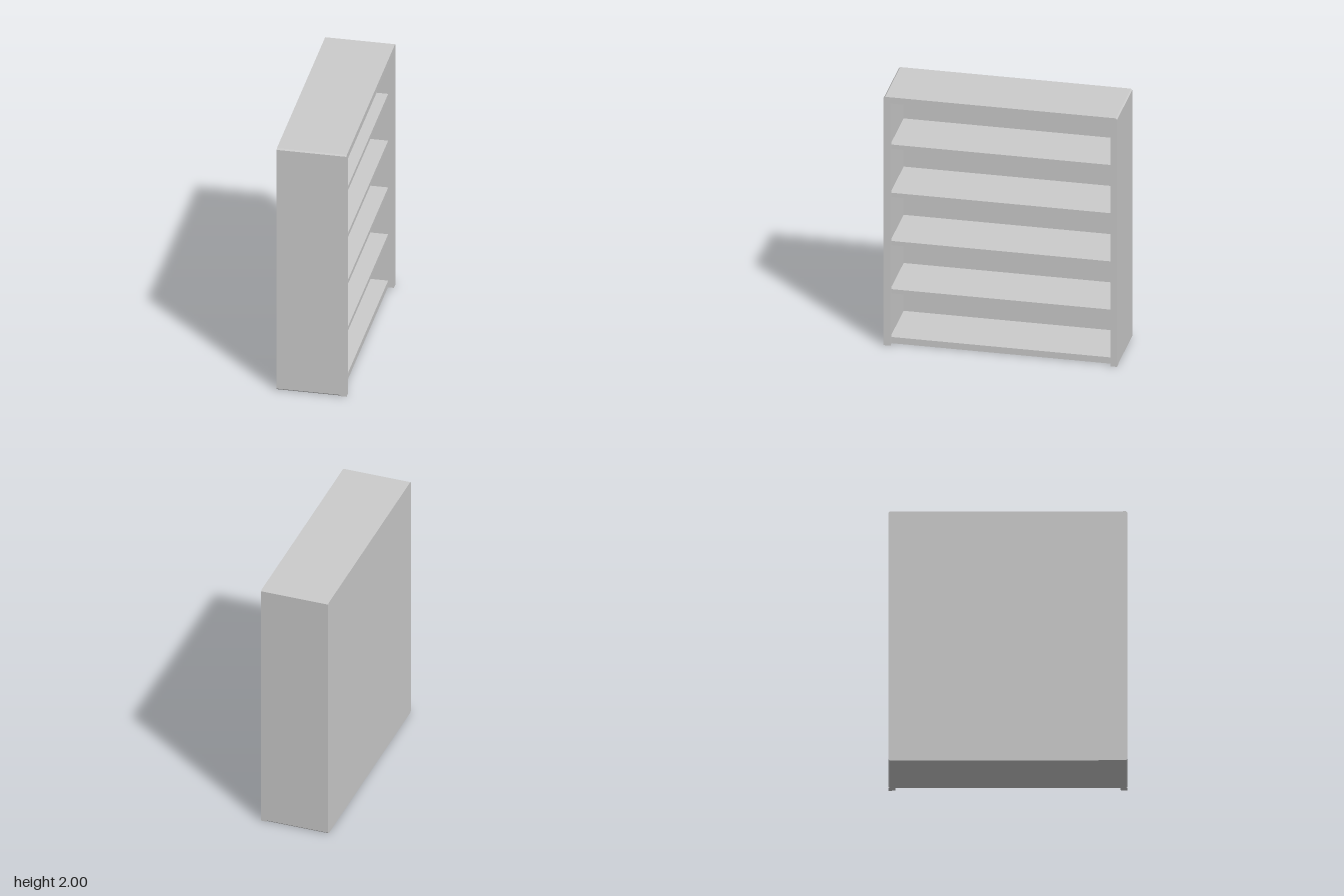
import * as THREE from 'three';

const W = 0.87, H = 2, BACK = -0.26, FRONT = 0.26, FRAME_X = 0.215;
const C = 0.01; // corner chamfer
const material = new THREE.MeshStandardMaterial({ color: 0xcccccc });

// Extrude a (z, y) outline along x between two planes
function extrudeX(name, shape, x0, x1) {
  const geo = new THREE.ExtrudeGeometry(shape, { depth: x1 - x0, bevelEnabled: false });
  geo.rotateY(Math.PI / 2).translate(x0, 0, 0);
  const mesh = new THREE.Mesh(geo, material);
  mesh.name = name;
  return mesh;
}

const outline = (points) => new THREE.Shape(points.map(([a, b]) => new THREE.Vector2(a, b)));

const chamferedOutline = () => outline([
  [-W + C, 0], [W - C, 0], [W, C], [W, H - C], [W - C, H],
  [-W + C, H], [-W, H - C], [-W, C],
]);

export function createModel() {
  const group = new THREE.Group();
  group.name = 'bookcase';

  // Carcass: sides, top and bottom board as one ring
  const inner = 0.83, floor = 0.05, ceiling = 1.96;
  const ring = chamferedOutline();
  ring.holes.push(outline([
    [-inner, floor], [-inner, ceiling], [inner, ceiling], [inner, floor],
  ]));
  group.add(extrudeX('carcass', ring, BACK + 0.02, FRAME_X));

  // Closed back
  group.add(extrudeX('backPanel', chamferedOutline(), BACK, BACK + 0.02));

  // Face frame: two posts joined by a top rail, open at the bottom
  const post = 0.82, rail = 1.95;
  group.add(extrudeX('faceFrame', outline([
    [-W, 0], [-post, 0], [-post, rail], [post, rail], [post, 0], [W, 0],
    [W, H - C], [W - C, H], [-W + C, H], [-W, H - C],
  ]), FRAME_X, FRONT));

  // Four evenly spaced shelves
  const depth = FRAME_X - BACK - 0.02;
  for (let i = 0; i < 4; i++) {
    const shelf = new THREE.Mesh(new THREE.BoxGeometry(depth, 0.034, 2 * inner), material);
    shelf.position.set(FRAME_X - depth / 2, 0.418 + i * 0.388, 0);
    shelf.name = `shelf${i + 1}`;
    group.add(shelf);
  }

  return group;
}
